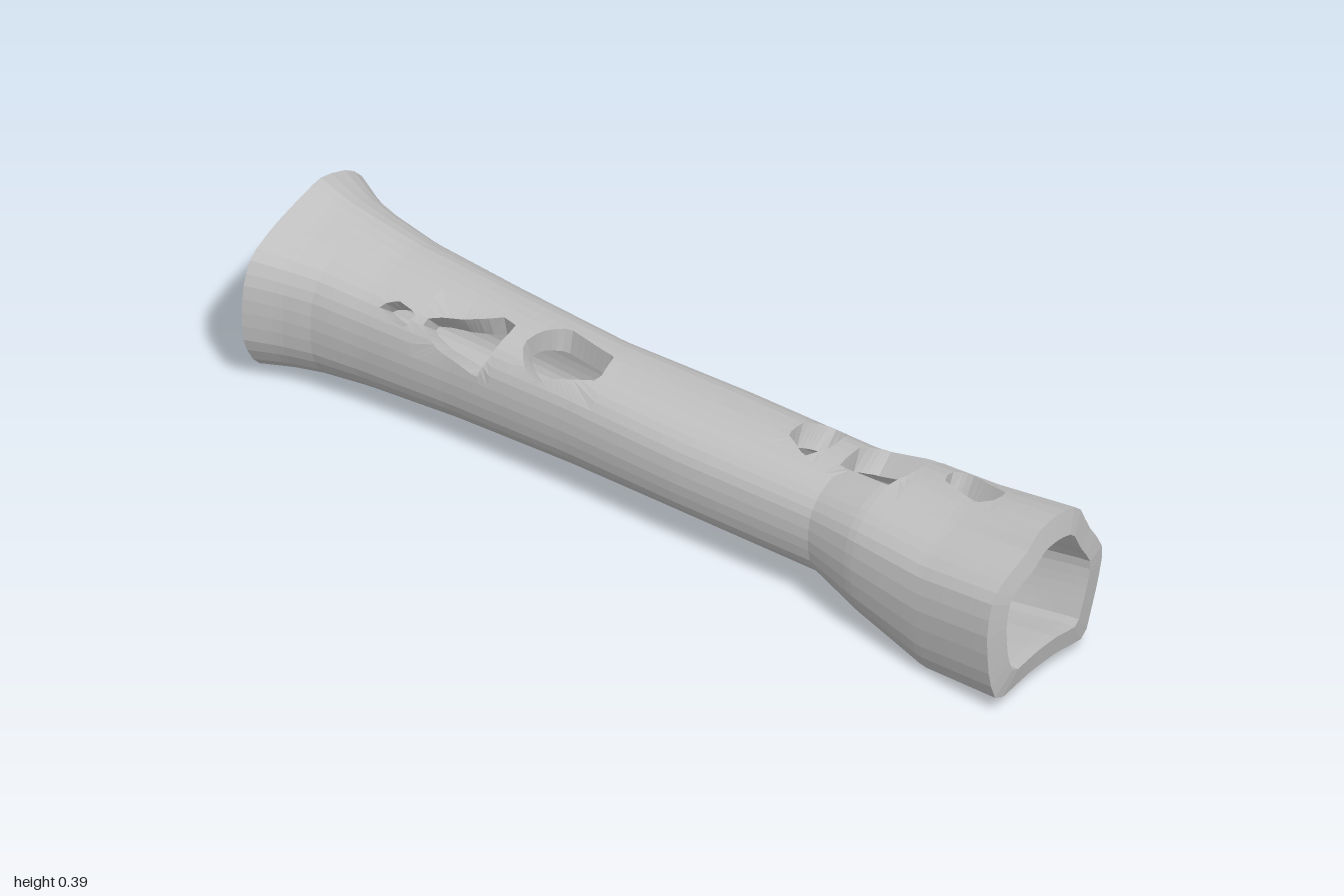
import * as THREE from 'three';

// Closed smooth cross-section from [z, y] points, running from +z over the top
function section(points) {
  const zs = points.map(p => p[0]), ys = points.map(p => p[1]);
  const unit = (v, list) => {
    const lo = Math.min(...list), hi = Math.max(...list);
    return (2 * v - lo - hi) / (hi - lo);
  };
  return new THREE.CatmullRomCurve3(
    points.map(([z, y]) => new THREE.Vector3(0, unit(y, ys), unit(z, zs))), true, 'catmullrom', 0.4);
}

const leftEnd = section([[.212, .2], [.205, .27], [.175, .325], [.1, .36], [0, .385], [-.06, .393], [-.15, .36], [-.205, .3],
  [-.22, .21], [-.235, .115], [-.21, .045], [-.1, .013], [0, .005], [.1, .012], [.165, .05], [.205, .12]]);
const rightEnd = section([[.232, .215], [.213, .295], [.165, .33], [.1, .355], [.055, .388], [-.01, .395], [-.075, .377], [-.11, .31],
  [-.155, .235], [-.145, .17], [-.12, .1], [-.09, .04], [0, .05], [.1, .048], [.195, .038], [.225, .11]]);
const power = v => Math.sign(v) * Math.abs(v) ** 0.8;
const middle = section(Array.from({ length: 16 }, (_, k) => {
  const a = k * Math.PI / 8;
  return [power(Math.cos(a)), power(Math.sin(a))];
}));

// Stations along the shaft: x, zMin, zMax, yMin, yMax, blend (-1 left end, 0 middle, 1 right end)
const stations = [
  [-.97, -.235, .215, .007, .393, -1],
  [-.9, -.195, .185, .018, .37, -.8],
  [-.83, -.175, .165, .025, .355, -.6],
  [-.72, -.16, .152, .035, .335, -.4],
  [-.5, -.148, .138, .045, .318, -.2],
  [-.2, -.127, .135, .056, .31, 0],
  [.1, -.147, .143, .06, .304, 0],
  [.45, -.147, .14, .06, .304, .1],
  [.58, -.155, .175, .038, .34, .4],
  [.78, -.156, .205, .006, .36, .75],
  [.99, -.156, .232, .04, .393, 1]
];

const X0 = -0.97, STEP = 0.02, NX = 98, NA = 36, WALL = 0.053;

// Point on the shell; i runs along x, j around, inner selects the bore
function shellPoint(i, j, inner) {
  const x = X0 + i * STEP;
  let s = 0;
  while (s < stations.length - 2 && x > stations[s + 1][0]) s++;
  const a = stations[s], b = stations[s + 1];
  const f = Math.min(1, Math.max(0, (x - a[0]) / (b[0] - a[0])));
  const [, z0, z1, y0, y1, w] = a.map((v, k) => v + (b[k] - v) * f);
  const t = (j % NA) / NA;
  const p = middle.getPoint(t).lerp((w < 0 ? leftEnd : rightEnd).getPoint(t), Math.abs(w));
  const cut = inner ? WALL : 0;
  // the rims lean outward toward the bore
  const px = inner && i === 0 ? -1 : inner && i === NX ? 1 : x;
  return new THREE.Vector3(px,
    (y0 + y1) / 2 + p.y * ((y1 - y0) / 2 - cut),
    (z0 + z1) / 2 + p.z * ((z1 - z0) / 2 - cut));
}

// Broken openings as [x, degrees around from the front]
const openings = [
  [[-.69, 42], [-.65, 34], [-.61, 32], [-.6, 50], [-.65, 54]],
  [[-.575, 38], [-.52, 24], [-.42, 14], [-.4, 40], [-.39, 78], [-.43, 80], [-.5, 62], [-.57, 52]],
  [[-.35, 65], [-.31, 40], [-.28, 30], [-.24, 45], [-.145, 63], [-.165, 92], [-.3, 100], [-.34, 82]],
  [[.28, 107], [.29, 90], [.36, 77], [.39, 95], [.37, 128], [.32, 138]],
  [[.43, 112], [.44, 82], [.59, 78], [.61, 95], [.62, 140], [.47, 140]],
  [[.675, 125], [.68, 104], [.8, 96], [.835, 105], [.83, 118], [.71, 128]]
].map(poly => poly.map(([x, d]) => [(x - X0) / STEP, d * NA / 360]));

// Where the ray from c through p meets the polygon
function rayHit(c, p, poly) {
  const dx = p[0] - c[0], dy = p[1] - c[1];
  let best = 1;
  poly.forEach((a, k) => {
    const b = poly[(k + 1) % poly.length];
    const ex = b[0] - a[0], ey = b[1] - a[1], det = dx * ey - dy * ex;
    if (Math.abs(det) < 1e-9) return;
    const ax = a[0] - c[0], ay = a[1] - c[1];
    const t = (ax * ey - ay * ex) / det, u = (ax * dy - ay * dx) / det;
    if (t > 0 && u >= -1e-6 && u <= 1 + 1e-6) best = Math.min(best, t);
  });
  return [c[0] + dx * best, c[1] + dy * best];
}

export function createModel() {
  const model = new THREE.Group();
  model.name = 'hollowBone';
  const material = new THREE.MeshStandardMaterial({ color: 0xbfbfbf });
  material.name = 'bone grey';
  material.flatShading = true;

  const parts = { outerShell: [], bore: [], endRims: [], openingWalls: [] };
  const quad = (part, a, b, c, d) => {
    for (const v of [a, b, c, a, c, d]) parts[part].push(v.x, v.y, v.z);
  };
  // the same patch on the outside and, reversed, on the bore
  const bothSides = corners => {
    quad('outerShell', ...corners.map(([i, j]) => shellPoint(i, j, false)));
    quad('bore', ...corners.map(([i, j]) => shellPoint(i, j, true)).reverse());
  };

  // Openings: a ring of faces from a grid rectangle to the broken edge, plus wall thickness
  const skipped = new Set();
  for (const poly of openings) {
    const is = poly.map(p => p[0]), js = poly.map(p => p[1]);
    const i0 = Math.floor(Math.min(...is)), i1 = Math.ceil(Math.max(...is));
    const j0 = Math.floor(Math.min(...js)), j1 = Math.ceil(Math.max(...js));
    for (let i = i0; i < i1; i++) for (let j = j0; j < j1; j++) skipped.add(i * NA + j);
    const edge = [];
    for (let i = i0; i < i1; i++) edge.push([i, j0]);
    for (let j = j0; j < j1; j++) edge.push([i1, j]);
    for (let i = i1; i > i0; i--) edge.push([i, j1]);
    for (let j = j1; j > j0; j--) edge.push([i0, j]);
    const mean = list => list.reduce((a, b) => a + b, 0) / list.length;
    const centre = [mean(is), mean(js)];
    const lip = edge.map(p => rayHit(centre, p, poly));
    edge.forEach((p, k) => {
      const n = (k + 1) % edge.length;
      bothSides([p, edge[n], lip[n], lip[k]]);
      quad('openingWalls', shellPoint(...lip[k], false), shellPoint(...lip[n], false),
        shellPoint(...lip[n], true), shellPoint(...lip[k], true));
    });
  }

  // Shaft outside and bore
  for (let i = 0; i < NX; i++) for (let j = 0; j < NA; j++) {
    if (!skipped.has(i * NA + j)) bothSides([[i, j], [i + 1, j], [i + 1, j + 1], [i, j + 1]]);
  }

  // Rims closing the wall at both ends
  for (let j = 0; j < NA; j++) for (const i of [0, NX]) {
    const ring = [shellPoint(i, j, false), shellPoint(i, j + 1, false), shellPoint(i, j + 1, true), shellPoint(i, j, true)];
    quad('endRims', ...(i === 0 ? ring : ring.reverse()));
  }

  for (const [name, positions] of Object.entries(parts)) {
    const geometry = new THREE.BufferGeometry();
    geometry.setAttribute('position', new THREE.Float32BufferAttribute(positions, 3));
    geometry.computeVertexNormals();
    const mesh = new THREE.Mesh(geometry, material);
    mesh.name = name;
    model.add(mesh);
  }
  return model;
}
